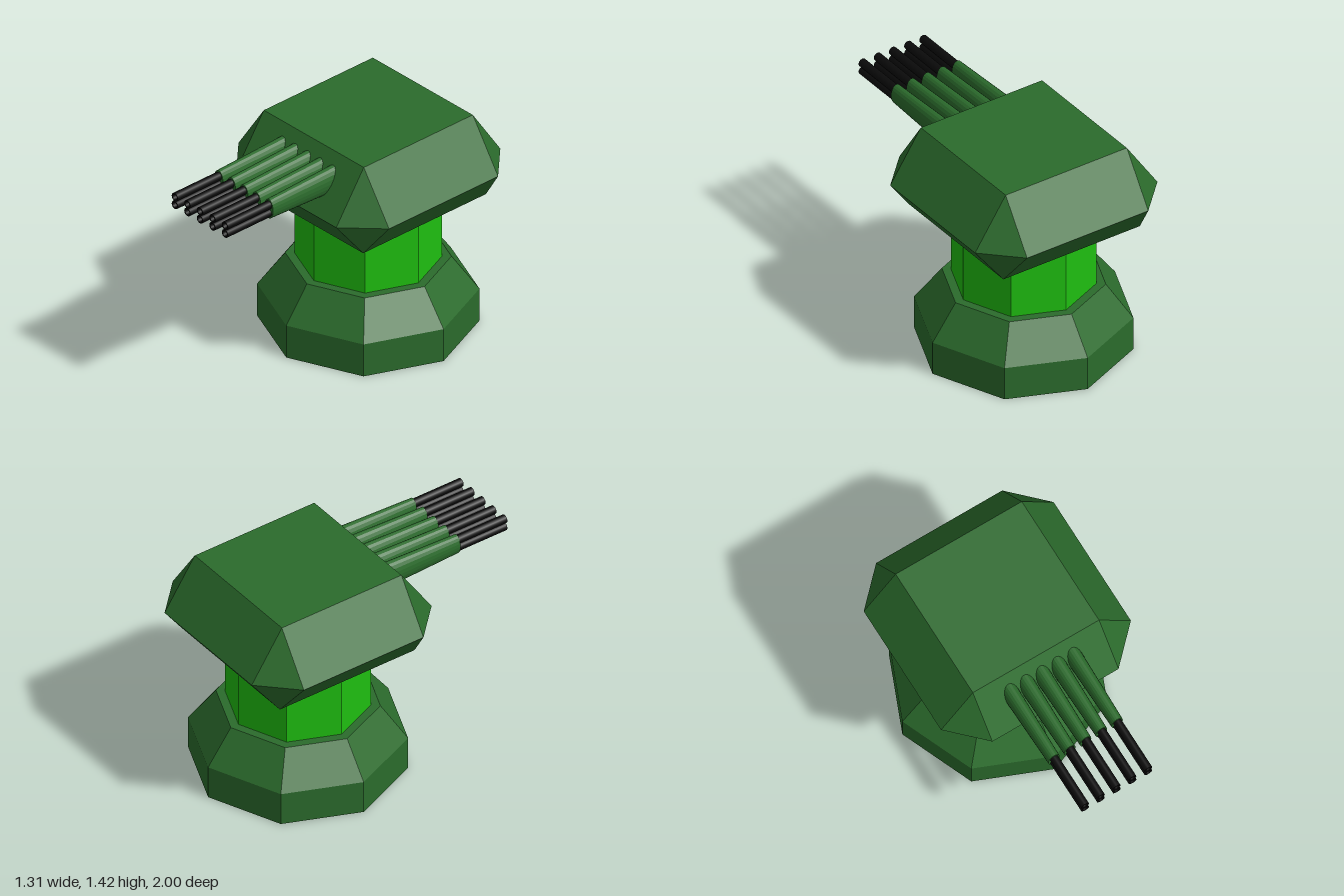
import * as THREE from 'three';
import { ConvexGeometry } from 'three/addons/geometries/ConvexGeometry.js';

const CZ = -0.345; // z of the turret's vertical axis

const paint = (color, flatShading = true) => new THREE.MeshStandardMaterial({ color, flatShading });

function add(parent, name, geometry, material, x = 0, y = 0, z = 0) {
  const mesh = new THREE.Mesh(geometry, material);
  mesh.name = name;
  mesh.position.set(x, y, z);
  parent.add(mesh);
  return mesh;
}

const lathe = (profile, sides) =>
  new THREE.LatheGeometry(profile.map(([r, y]) => new THREE.Vector2(r, y)), sides);

export function createModel() {
  const model = new THREE.Group();
  model.name = 'gunTurret';
  const darkGreen = paint(0x2b6b2c);
  const brightGreen = paint(0x1fbe10);
  const black = paint(0x0a0a0a, false);

  // Octagonal foot with a sloping shoulder
  add(model, 'base', lathe([[0, 0], [0.655, 0], [0.655, 0.22], [0.49, 0.44], [0, 0.44]], 8), darkGreen, 0, 0, CZ);

  // Octagonal neck
  add(model, 'column', new THREE.CylinderGeometry(0.435, 0.435, 0.44, 8), brightGreen, 0, 0.657, CZ);

  // Faceted head: square top and bottom, chamfered square at the waist
  const corners = [];
  for (const sx of [-1, 1]) {
    for (const sz of [-1, 1]) {
      corners.push(
        new THREE.Vector3(sx * 0.435, 1.42, sz * 0.435),
        new THREE.Vector3(sx * 0.655, 1.095, sz * 0.435),
        new THREE.Vector3(sx * 0.435, 1.095, sz * 0.655),
        new THREE.Vector3(sx * 0.49, 0.875, sz * 0.49)
      );
    }
  }
  add(model, 'head', new ConvexGeometry(corners), darkGreen, 0, 0, CZ);

  // Five oval sleeves, each holding two hollow barrels
  const sleeveShape = new THREE.CylinderGeometry(0.066, 0.088, 0.56, 20).rotateX(Math.PI / 2).scale(0.59, 1, 1);
  const barrelShape = lathe([[0.027, 0], [0.027, 0.4], [0.027, 0.4], [0.019, 0.4], [0.019, 0.4], [0.019, 0]], 16)
    .rotateX(Math.PI / 2);
  for (let i = -2; i <= 2; i++) {
    const gun = new THREE.Group();
    gun.name = 'gun';
    gun.position.set(i * 0.109, 1.27, 0);
    add(gun, 'sleeve', sleeveShape, darkGreen, 0, 0, 0.37);
    for (const s of [-1, 1]) add(gun, 'barrel', barrelShape, black, 0, s * 0.027, 0.6);
    model.add(gun);
  }
  return model;
}
